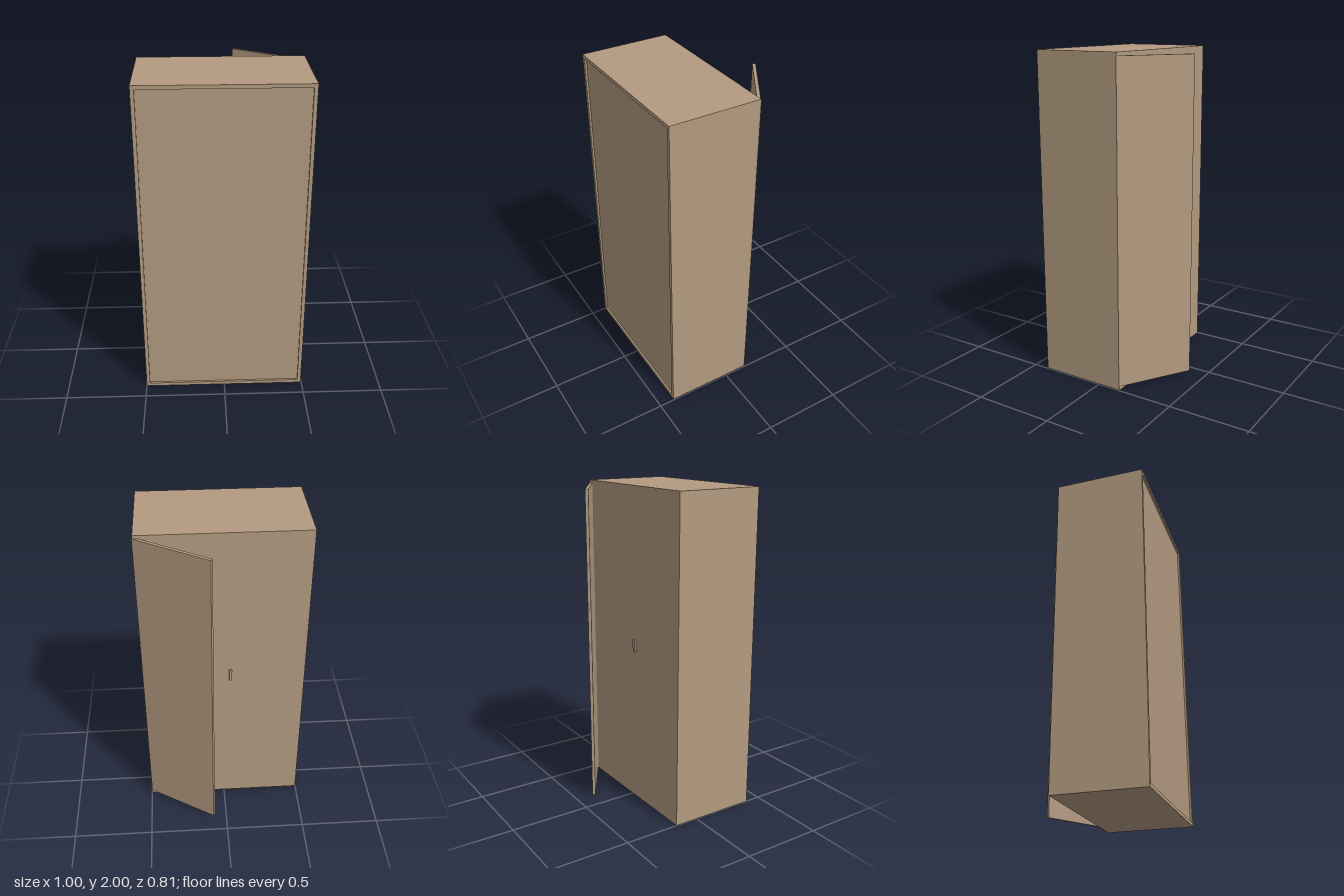
import * as THREE from 'three';

const wood = new THREE.MeshStandardMaterial({ color: 0xb39b80 });

// Box given by its min and max corners
function board(name, [x0, y0, z0], [x1, y1, z1]) {
  const mesh = new THREE.Mesh(new THREE.BoxGeometry(x1 - x0, y1 - y0, z1 - z0), wood);
  mesh.position.set((x0 + x1) / 2, (y0 + y1) / 2, (z0 + z1) / 2);
  mesh.name = name;
  return mesh;
}

export function createModel() {
  const group = new THREE.Group();
  group.name = 'wardrobe';

  const L = -0.5, R = 0.495, back = -0.15, front = 0.403, t = 0.022;

  // Carcass: side, top and bottom boards
  group.add(
    board('rightSide', [L, t, back], [L + t, 2 - t, front]),
    board('leftSide', [R - t, t, back], [R, 2 - t, front]),
    board('topBoard', [L, 2 - t, back], [R, 2, front]),
    board('bottomBoard', [L, 0, back], [R, t, front])
  );

  // Large panel set slightly into the front, and the flush door side
  group.add(
    board('frontPanel', [L + t, t, front - 0.03], [R - t, 2 - t, front - 0.012]),
    board('closedDoorSide', [L + t, t, back], [R - t, 2 - t, back + 0.02])
  );

  // Small pull handle on the closed side
  group.add(board('handle', [-0.049, 0.99, back - 0.012], [-0.031, 1.065, back]));

  // Half-width door swung open about its hinge edge
  const hinge = new THREE.Group();
  hinge.name = 'openDoor';
  hinge.position.set(0.499, 0, -0.148);
  hinge.rotation.y = -THREE.MathUtils.degToRad(32);
  hinge.add(board('doorLeaf', [-0.486, 0.025, 0], [0, 1.98, 0.0195]));
  group.add(hinge);

  return group;
}
